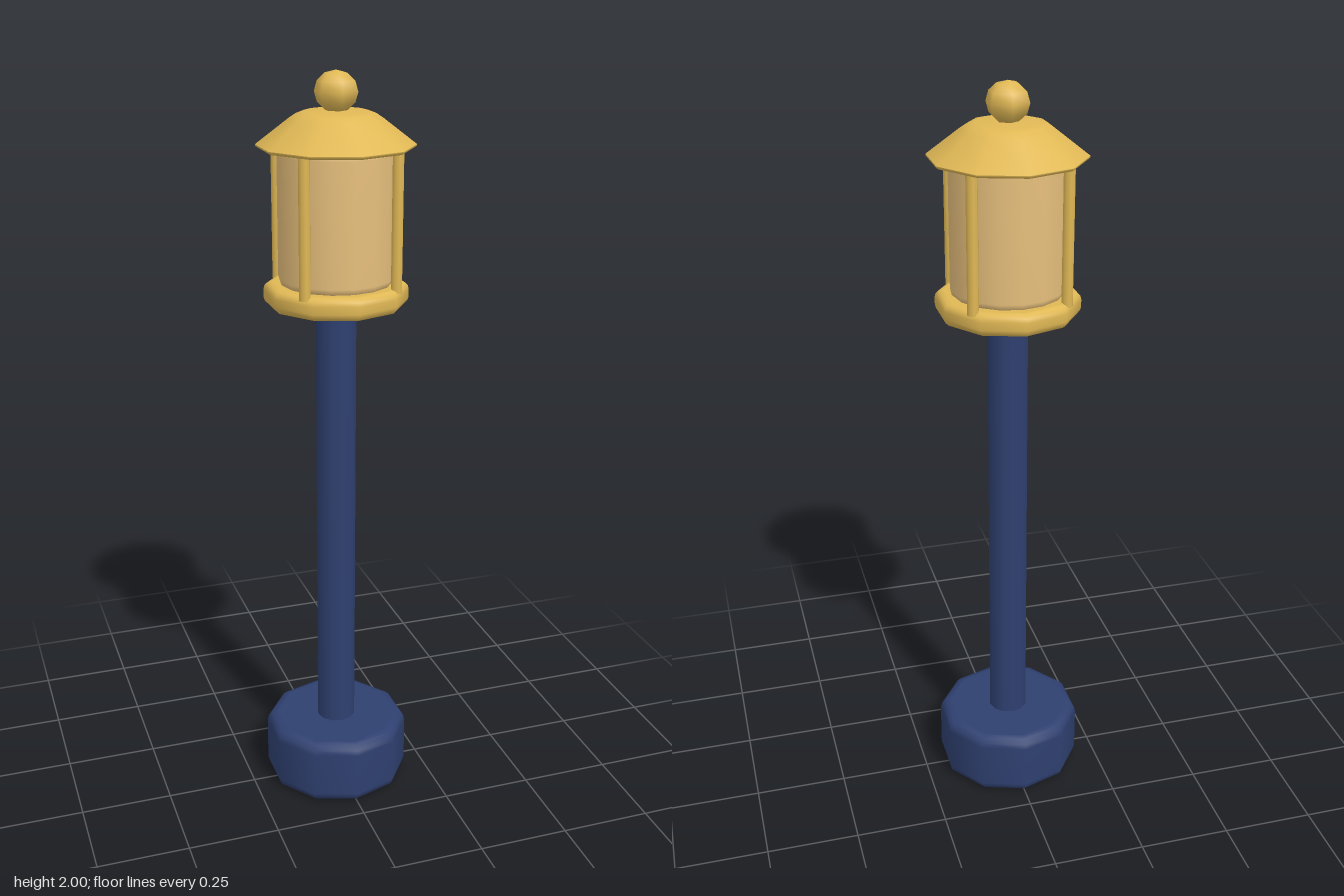
import * as THREE from 'three';

export function createModel() {
  const group = new THREE.Group();
  const makeMat = (name, color) => {
    const m = new THREE.MeshStandardMaterial({ color });
    m.name = name;
    return m;
  };
  const navy = makeMat('navy paint', 0x2f4070);
  const gold = makeMat('gold metal', 0xe0b855);
  const amber = makeMat('amber glass', 0xe6bf7c);

  // Turned part: profile of [radius, y] from bottom to top; a repeated point makes a hard edge
  function turned(name, profile, sides, material) {
    const points = profile.map(([r, y]) => new THREE.Vector2(r, y));
    const mesh = new THREE.Mesh(new THREE.LatheGeometry(points, sides), material);
    mesh.name = name;
    group.add(mesh);
  }

  // Solid drum with rounded rims
  function drum(name, radius, y0, y1, bevel, sides, material) {
    const profile = [[0, y0], [radius - bevel, y0], [radius - bevel, y0]];
    const steps = 3;
    for (let i = 0; i <= steps; i++) {
      const a = (i / steps) * Math.PI / 2;
      profile.push([radius - bevel + bevel * Math.sin(a), y0 + bevel - bevel * Math.cos(a)]);
    }
    for (let i = 0; i <= steps; i++) {
      const a = (i / steps) * Math.PI / 2;
      profile.push([radius - bevel + bevel * Math.cos(a), y1 - bevel + bevel * Math.sin(a)]);
    }
    profile.push([radius - bevel, y1], [0, y1]);
    turned(name, profile, sides, material);
  }

  // Foot and pole
  drum('foot', 0.2, 0, 0.185, 0.03, 10, navy);
  turned('pole', [[0.054, 0.15], [0.054, 1.43]], 12, navy);

  // Lantern floor and glass
  drum('lanternFloor', 0.188, 1.41, 1.47, 0.02, 10, gold);
  drum('glass', 0.15, 1.46, 1.825, 0.025, 16, amber);

  // Four corner posts
  for (const x of [-1, 1]) {
    for (const z of [-1, 1]) {
      const post = new THREE.Mesh(new THREE.CylinderGeometry(0.015, 0.015, 0.36, 8), gold);
      post.name = 'lanternPost';
      post.position.set(x * 0.121, 1.64, z * 0.121);
      group.add(post);
    }
  }

  // Roof with a thin rim and a softly rounded crown
  turned('roof', [
    [0, 1.812], [0.196, 1.812], [0.196, 1.812],
    [0.202, 1.816], [0.202, 1.82], [0.202, 1.82],
    [0.118, 1.884], [0.1, 1.896], [0.078, 1.902], [0, 1.904],
  ], 10, gold);

  // Ball finial
  const ball = [];
  for (let i = 0; i <= 6; i++) {
    const a = (i / 6) * Math.PI;
    ball.push([0.056 * Math.sin(a), 1.948 - 0.052 * Math.cos(a)]);
  }
  turned('finial', ball, 6, gold);

  return group;
}
